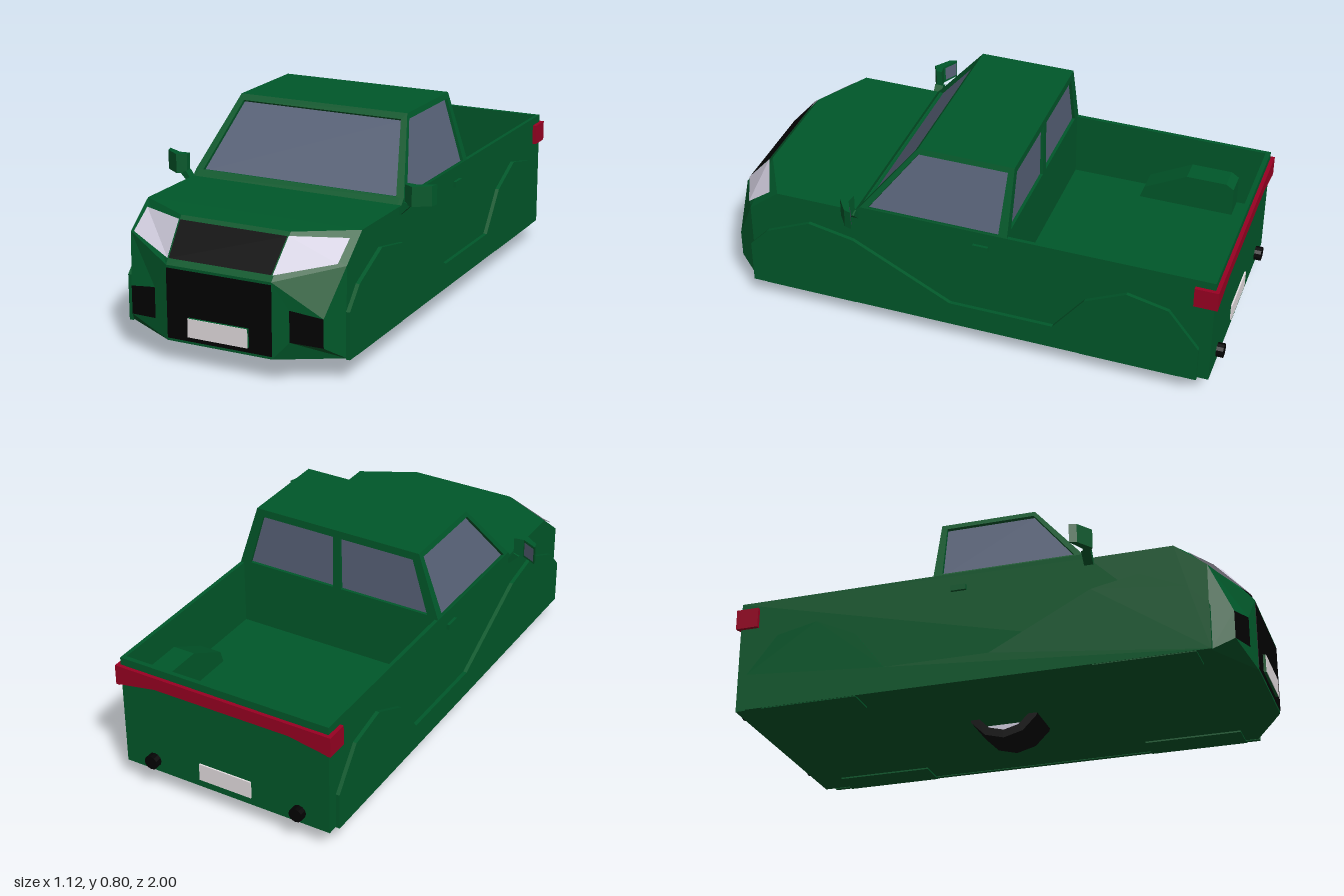
import * as THREE from 'three';

const mat = (color) => new THREE.MeshStandardMaterial({ color, flatShading: true, side: THREE.DoubleSide });
const PAINT = mat(0x00582a), BLACK = mat(0x020202), GLASS = mat(0x586278);
const LAMP = mat(0xcfcbdc), PLATE = mat(0xe6dfe2), RED = mat(0x980022);

export function createModel() {
  const root = new THREE.Group();
  const add = (name, geo, material) => {
    const m = new THREE.Mesh(geo, material);
    m.name = name;
    root.add(m);
    return m;
  };

  const box = (name, material, w, h, d, x, y, z) =>
    add(name, new THREE.BoxGeometry(w, h, d).translate(x, y, z), material);

  // Side profile given as (z, y), extruded across x from x0 to x1
  const slab = (name, material, pts, x0, x1) => {
    const shape = new THREE.Shape(pts.map(([z, y]) => new THREE.Vector2(z, y)));
    const geo = new THREE.ExtrudeGeometry(shape, { depth: x1 - x0, bevelEnabled: false });
    return add(name, geo.rotateY(-Math.PI / 2).translate(x1, 0, 0), material);
  };

  // Flat convex polygons, each fanned into triangles
  const faces = (name, material, polys) => {
    const v = [];
    for (const p of polys)
      for (let i = 1; i < p.length - 1; i++) v.push(...p[0], ...p[i], ...p[i + 1]);
    const geo = new THREE.BufferGeometry();
    geo.setAttribute('position', new THREE.Float32BufferAttribute(v, 3));
    geo.computeVertexNormals();
    return add(name, geo, material);
  };
  const m = ([x, y, z]) => [-x, y, z];
  const flip = (poly) => poly.map(m).reverse();
  const bothSides = (fn) => [['left', 1], ['right', -1]].forEach(([n, s]) => fn(n, s));
  const span = (s, a, b) => (s > 0 ? [a, b] : [-b, -a]);

  // Body core: hood, cab base, bed floor and tailgate
  slab('bodyCore', PAINT, [
    [0.74, 0.088], [0.74, 0.52], [0.42, 0.52], [0.40, 0.54], [-0.185, 0.54],
    [-0.185, 0.28], [-0.955, 0.28], [-0.955, 0.54], [-0.973, 0.54], [-0.973, 0.088],
  ], -0.42, 0.42);

  const sideProfile = [
    [0.86, 0.088], [0.86, 0.425], [0.74, 0.52], [0.42, 0.52], [0.40, 0.54], [-0.973, 0.54], [-0.973, 0.088],
  ];
  const claddingProfile = [
    [0.865, 0.085], [0.865, 0.26], [0.79, 0.34], [0.61, 0.42], [0.43, 0.385], [0.04, 0.185], [-0.37, 0.185],
    [-0.49, 0.34], [-0.65, 0.415], [-0.81, 0.38], [-0.93, 0.23], [-0.93, 0.085],
  ];
  const wellProfile = [
    [-0.86, 0.27], [-0.86, 0.40], [-0.83, 0.42], [-0.67, 0.42], [-0.50, 0.33], [-0.48, 0.27],
  ];
  bothSides((n, s) => {
    slab(n + 'SidePanel', PAINT, sideProfile, ...span(s, 0.42, 0.435));
    slab(n + 'Cladding', PAINT, claddingProfile, ...span(s, 0.434, 0.45));
    slab(n + 'BedWheelWell', PAINT, wellProfile, ...span(s, 0.33, 0.421));
    box(n + 'DoorHandle', PAINT, 0.012, 0.022, 0.06, s * 0.44, 0.474, -0.083);
    // Lower edges of the wheel housings
    box(n + 'FrontHousing', PAINT, 0.12, 0.02, 0.38, s * 0.388, 0.092, 0.62);
    box(n + 'RearHousing', PAINT, 0.12, 0.02, 0.38, s * 0.388, 0.092, -0.67);
  });

  // Nose: hood tip, sloping lamp faces, front panel and underside
  const hoodIn = [0.22, 0.517, 0.86], hoodOut = [0.435, 0.52, 0.74];
  const beltIn = [0.21, 0.37, 0.986], beltOut = [0.435, 0.425, 0.86];
  const footIn = [0.21, 0.088, 0.986], footOut = [0.435, 0.088, 0.86];
  const lampFace = [hoodIn, beltIn, beltOut, hoodOut];
  faces('nose', PAINT, [
    [m(hoodIn), hoodIn, hoodOut, m(hoodOut)],
    [m(beltIn), beltIn, hoodIn, m(hoodIn)],
    [m(footIn), footIn, beltIn, m(beltIn)],
    lampFace, flip(lampFace),
    [m(footOut), [-0.435, 0.088, 0.74], [0.435, 0.088, 0.74], footOut, footIn, m(footIn)],
  ]);

  // Bumper corners bulge out around the fog lamp openings
  const fog = [[0.27, 0.272, 0.97], [0.27, 0.155, 0.97], [0.387, 0.143, 0.94], [0.387, 0.25, 0.94]];
  const rim = [beltIn, footIn, footOut, beltOut];
  const bulge = rim.map((p, i) => {
    const j = (i + 1) % 4;
    return [rim[j], fog[j], fog[i], p];
  });
  faces('bumperCorners', PAINT, [...bulge, ...bulge.map(flip)]);
  faces('fogOpenings', BLACK, [fog, flip(fog)]);

  // Grilles, headlamps and front plate
  faces('upperGrille', BLACK, [[
    [-0.205, 0.392, 0.975], [0.205, 0.392, 0.975], [0.215, 0.505, 0.877], [-0.215, 0.505, 0.877],
  ]]);
  const lamp = [[0.22, 0.506, 0.876], [0.21, 0.392, 0.976], [0.41, 0.434, 0.878], [0.41, 0.5, 0.785]];
  faces('headlamps', LAMP, [lamp, flip(lamp)]);
  box('lowerGrille', BLACK, 0.42, 0.262, 0.01, 0, 0.229, 0.983);
  box('frontPlateMount', PAINT, 0.24, 0.07, 0.02, 0, 0.153, 0.988);
  box('frontPlate', PLATE, 0.24, 0.07, 0.002, 0, 0.153, 0.999);

  // Cabin shell; each face runs bottom left, bottom right, top right, top left
  const A = [0.435, 0.54, 0.4], B = [0.435, 0.54, -0.185], C = [0.35, 0.8, -0.185], D = [0.35, 0.8, 0.19];
  faces('cabinRoof', PAINT, [[m(D), D, C, m(C)]]);

  // Cabin face with a border, a reveal and a recessed pane of glass
  const windowWall = (name, f, u0, u1, v0, v1) => {
    const [a, b, c, d] = f.map((p) => new THREE.Vector3(...p));
    const inward = d.clone().sub(a).cross(b.clone().sub(a)).setLength(0.012);
    const at = (u, v) => a.clone().lerp(b, u).lerp(d.clone().lerp(c, u), v);
    const hole = [at(u0, v0), at(u1, v0), at(u1, v1), at(u0, v1)];
    const edge = hole.map((p) => p.toArray());
    const glass = hole.map((p) => p.add(inward).toArray());
    const ring = (outer, inner) => outer.map((p, i) => {
      const j = (i + 1) % 4;
      return [p, outer[j], inner[j], inner[i]];
    });
    faces(name + 'Frame', PAINT, [...ring(f, edge), ...ring(edge, glass)]);
    faces(name, GLASS, [glass]);
  };
  const left = [A, B, C, D], midLow = [0, 0.54, -0.185], midTop = [0, 0.8, -0.185];
  const right = [m(B), m(A), m(D), m(C)];
  const backLeft = [B, midLow, midTop, C], backRight = [midLow, m(B), m(C), midTop];
  windowWall('windshield', [m(A), A, D, m(D)], 0.035, 0.965, 0.01, 0.92);
  windowWall('leftWindow', left, 0.05, 0.94, 0.02, 0.92);
  windowWall('rightWindow', right, 0.06, 0.95, 0.02, 0.92);
  windowWall('rearLeftWindow', backLeft, 0.1, 0.96, 0.04, 0.88);
  windowWall('rearRightWindow', backRight, 0.04, 0.9, 0.04, 0.88);

  // Door mirrors: angled housing, stalk and glass
  const plan = [[0.455, 0.41], [0.455, 0.432], [0.49, 0.452], [0.55, 0.41], [0.558, 0.382], [0.495, 0.415]];
  bothSides((n, s) => {
    const shape = new THREE.Shape(plan.map(([x, z]) => new THREE.Vector2(s * x, -z)));
    const geo = new THREE.ExtrudeGeometry(shape, { depth: 0.075, bevelEnabled: false });
    add(n + 'Mirror', geo.rotateX(-Math.PI / 2).translate(0, 0.53, 0), PAINT);
    const stalk = [[0.425, 0.495], [0.44, 0.49], [0.48, 0.53], [0.455, 0.54]];
    const arm = new THREE.Shape(stalk.map(([x, y]) => new THREE.Vector2(s * x, y)));
    const armGeo = new THREE.ExtrudeGeometry(arm, { depth: 0.035, bevelEnabled: false });
    add(n + 'MirrorStalk', armGeo.translate(0, 0, 0.405), PAINT);
    const glass = [[0.552, 0.54, 0.382], [0.5, 0.54, 0.41], [0.5, 0.597, 0.41], [0.552, 0.597, 0.382]];
    faces(n + 'MirrorGlass', GLASS, [s > 0 ? glass : flip(glass)]);
  });

  // Rear lamp band that wraps round the corners
  const band = [[-0.45, 0.51], [-0.45, 0.43], [-0.28, 0.46], [0.28, 0.46], [0.45, 0.43], [0.45, 0.51]];
  const bandShape = new THREE.Shape(band.map((p) => new THREE.Vector2(...p)));
  const bandGeo = new THREE.ExtrudeGeometry(bandShape, { depth: 0.017, bevelEnabled: false });
  add('rearLampBand', bandGeo.translate(0, 0, -0.988), RED);
  box('rearPlate', PLATE, 0.22, 0.07, 0.01, 0, 0.155, -0.974);
  bothSides((n, s) => {
    box(n + 'RearLamp', RED, 0.016, 0.08, 0.09, s * 0.442, 0.47, -0.943);
    const pipe = new THREE.CylinderGeometry(0.028, 0.028, 0.06, 12).rotateX(Math.PI / 2);
    add(n + 'Exhaust', pipe.translate(s * 0.31, 0.135, -0.97), BLACK);
  });

  // Wheel under the middle of the body: hollow tyre with a central disc
  const section = [[0.118, -0.084], [0.15, -0.084], [0.15, 0.084], [0.118, 0.084], [0.118, -0.084]];
  const tyre = new THREE.LatheGeometry(section.map((p) => new THREE.Vector2(...p)), 12);
  add('tyre', tyre.rotateZ(Math.PI / 2).translate(0, 0.152, -0.02), BLACK);
  const hub = new THREE.CylinderGeometry(0.119, 0.119, 0.02, 12).rotateZ(Math.PI / 2);
  add('hub', hub.translate(0, 0.152, -0.02), LAMP);

  return root;
}
